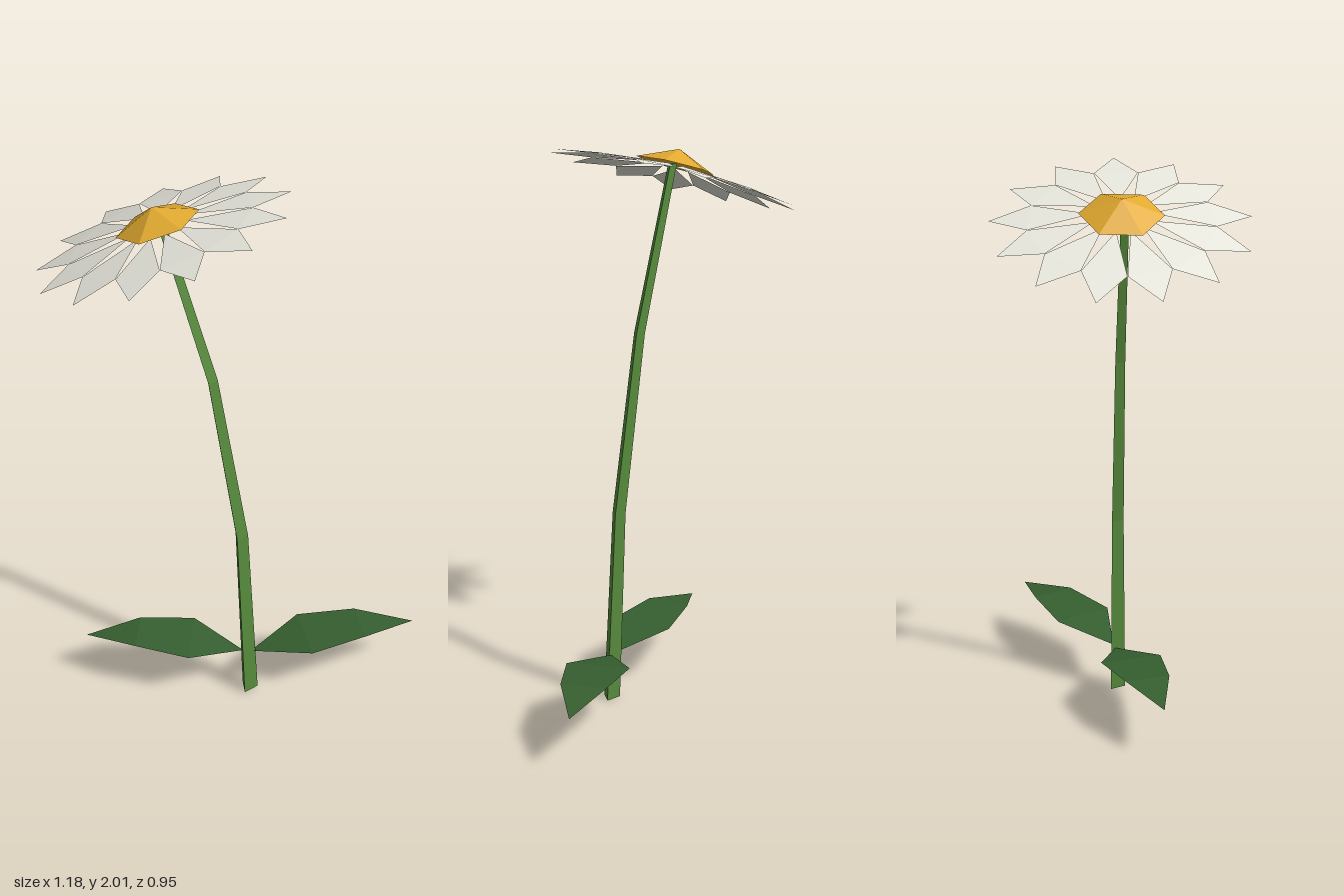
import * as THREE from 'three';

const flat = (name, color) => new THREE.MeshStandardMaterial({ name, color, flatShading: true, side: THREE.DoubleSide });

function addMesh(parent, name, geometry, material) {
  const mesh = new THREE.Mesh(geometry, material);
  mesh.name = name;
  parent.add(mesh);
  return mesh;
}

// Flat-shaded sheet from points and triangles
function sheet(points, triangles) {
  const g = new THREE.BufferGeometry();
  g.setAttribute('position', new THREE.Float32BufferAttribute(points.flat(), 3));
  g.setIndex(triangles.flat());
  const out = g.toNonIndexed();
  out.computeVertexNormals();
  return out;
}

// Three-sided stem that follows rings of [x, y, z, radius]
function stemGeometry(rings) {
  const last = rings.length - 1;
  const g = new THREE.CylinderGeometry(1, 1, last, 3, last, false, Math.PI);
  const p = g.attributes.position;
  for (let i = 0; i < p.count; i++) {
    const [x, y, z, r] = rings[Math.round(p.getY(i) + last / 2)];
    p.setXYZ(i, x + p.getX(i) * r, y, z + p.getZ(i) * r);
  }
  const out = g.toNonIndexed();
  out.computeVertexNormals();
  return out;
}

// Leaf along +x: root point, two cross-sections, tip point
function leafGeometry(length) {
  return sheet([
    [0, 0, 0],
    [length * 0.33, 0.045, 0.114], [length * 0.33, 0.045, -0.114],
    [length * 0.67, 0.06, 0.082], [length * 0.67, 0.06, -0.082],
    [length, 0.03, 0],
  ], [[0, 1, 2], [1, 3, 4], [1, 4, 2], [3, 5, 4]]);
}

export function createModel() {
  const model = new THREE.Group();
  model.name = 'flower';
  const stemGreen = flat('stem green', 0x568a3c);
  const leafGreen = flat('leaf green', 0x365f30);
  const petalWhite = flat('petal white', 0xe8e8de);
  const discYellow = flat('disc yellow', 0xe2aa30);

  // Stem
  addMesh(model, 'stem', stemGeometry([
    [0.01, 0, 0.222, 0.035],
    [-0.008, 0.7, 0.186, 0.028],
    [-0.07, 1.34, 0.095, 0.023],
    [-0.172, 1.92, -0.048, 0.018],
  ]), stemGreen);

  // Leaves, each from its root to its tip on the ground plan
  const leaves = [
    ['leftLeaf', 0.02, 0.22, 0.59, 0.475],
    ['rightLeaf', 0, 0.2, -0.435, -0.19],
  ];
  for (const [name, x0, z0, x1, z1] of leaves) {
    const leaf = addMesh(model, name, leafGeometry(Math.hypot(x1 - x0, z1 - z0)), leafGreen);
    leaf.position.set(x0, 0.17, z0);
    leaf.rotation.y = -Math.atan2(z1 - z0, x1 - x0);
  }

  // Flower head, tilted back and sideways
  const head = new THREE.Group();
  head.name = 'flowerHead';
  head.position.set(-0.172, 1.912, -0.062);
  head.quaternion.setFromUnitVectors(
    new THREE.Vector3(0, 1, 0),
    new THREE.Vector3(-0.19, 1, -0.29).normalize(),
  );
  model.add(head);

  // Shallow six-sided disc
  const disc = new THREE.ConeGeometry(0.144, 0.06, 6, 1, true);
  disc.translate(0, 0.03, 0);
  addMesh(head, 'disc', disc, discYellow);

  // Ring of thirteen drooping kite petals
  const petal = sheet([
    [0.1, -0.004, 0], [0.31, -0.03, 0.076], [0.447, -0.052, 0], [0.31, -0.03, -0.076],
  ], [[0, 1, 3], [1, 2, 3]]);
  const count = 13;
  for (let i = 0; i < count; i++) {
    addMesh(head, 'petal', petal, petalWhite).rotation.y = (i / count) * Math.PI * 2;
  }
  return model;
}
